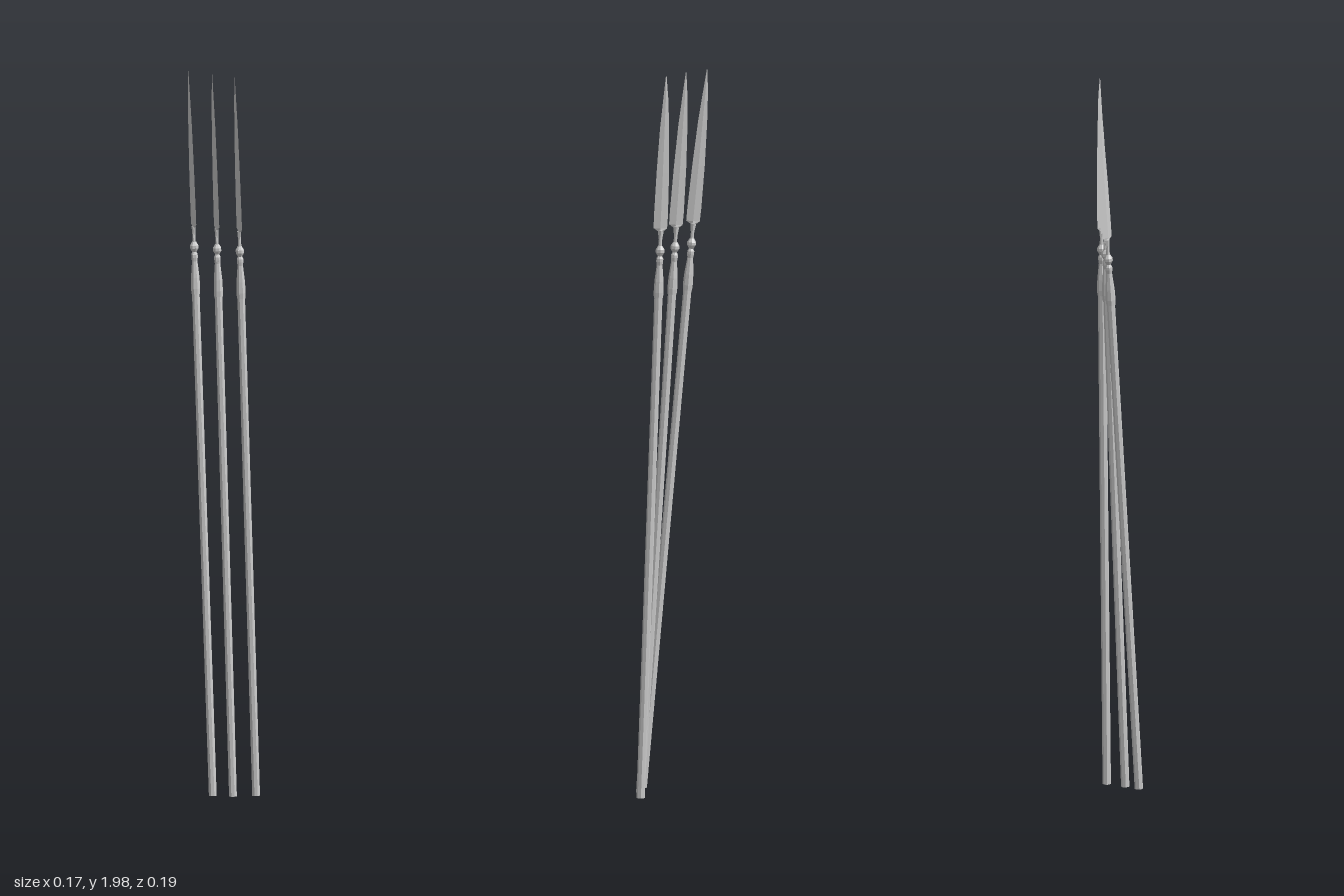
import * as THREE from 'three';

const material = new THREE.MeshStandardMaterial({ color: 0xcccccc, flatShading: true, side: THREE.DoubleSide });

// Thin blade: diamond cross-sections [height, back edge, front edge, half thickness]
function bladeGeometry() {
  const sections = [
    [1.530, -0.004, 0.004, 0.004],
    [1.558, -0.008, 0.008, 0.004],
    [1.566, -0.017, 0.020, 0.003],
    [1.600, -0.018, 0.020, 0.003],
    [1.720, -0.017, 0.017, 0.0028],
    [1.840, -0.013, 0.012, 0.0024],
    [1.920, -0.008, 0.006, 0.0016],
    [1.985, -0.001, 0.001, 0.0003],
  ];
  const position = [], index = [];
  sections.forEach(([y, back, front, t], i) => {
    const mid = (back + front) / 2;
    position.push(0, y, front, t, y, mid, 0, y, back, -t, y, mid);
    if (i === 0) return;
    for (let k = 0; k < 4; k++) {
      const a = (i - 1) * 4 + k, b = (i - 1) * 4 + (k + 1) % 4;
      index.push(a, b, b + 4, a, b + 4, a + 4);
    }
  });
  const top = (sections.length - 1) * 4;
  index.push(0, 2, 1, 0, 3, 2, top, top + 1, top + 2, top, top + 2, top + 3);
  const g = new THREE.BufferGeometry();
  g.setAttribute('position', new THREE.Float32BufferAttribute(position, 3));
  g.setIndex(index);
  g.computeVertexNormals();
  return g;
}

function lathe(profile) {
  return new THREE.LatheGeometry(profile.map(([r, y]) => new THREE.Vector2(r, y)), 8);
}

const parts = {
  shaft: lathe([[0, 0], [0.0115, 0], [0.0112, 1.39], [0, 1.39]]),
  // Socket with a raised ring, narrowing towards the bead
  socket: lathe([[0, 1.375], [0.0125, 1.375], [0.0135, 1.39], [0.0125, 1.42], [0.008, 1.465],
    [0.0095, 1.475], [0.0095, 1.483], [0.006, 1.49], [0, 1.49]]),
  bead: lathe([[0, 1.488], [0.006, 1.49], [0.012, 1.5], [0.012, 1.508], [0.006, 1.518], [0, 1.518]]),
  neck: lathe([[0, 1.51], [0.005, 1.515], [0.0045, 1.54], [0.006, 1.56], [0, 1.562]]),
  blade: bladeGeometry(),
};

// A spear standing at foot, leaning so that its axis reaches tip
function makeSpear(foot, tip) {
  const spear = new THREE.Group();
  for (const [name, geometry] of Object.entries(parts)) {
    const mesh = new THREE.Mesh(geometry, material);
    mesh.name = name;
    spear.add(mesh);
  }
  const y = tip.clone().sub(foot).normalize();
  const x = y.clone().cross(new THREE.Vector3(0.2, 0, 0.98)).normalize();
  const z = x.clone().cross(y);
  spear.quaternion.setFromRotationMatrix(new THREE.Matrix4().makeBasis(x, y, z));
  spear.position.copy(foot);
  return spear;
}

export function createModel() {
  const model = new THREE.Group();
  model.name = 'spears';
  const v = (x, y, z) => new THREE.Vector3(x, y, z);
  const layout = [
    ['rightSpear', v(-0.051, 0.01, 0.079), v(-0.085, 1.99, -0.093)],
    ['middleSpear', v(0.005, 0.006, 0.078), v(-0.029, 1.99, -0.043)],
    ['leftSpear', v(0.071, 0.003, 0.068), v(0.024, 1.99, 0.004)],
  ];
  for (const [name, foot, tip] of layout) {
    const spear = makeSpear(foot, tip);
    spear.name = name;
    model.add(spear);
  }
  return model;
}
